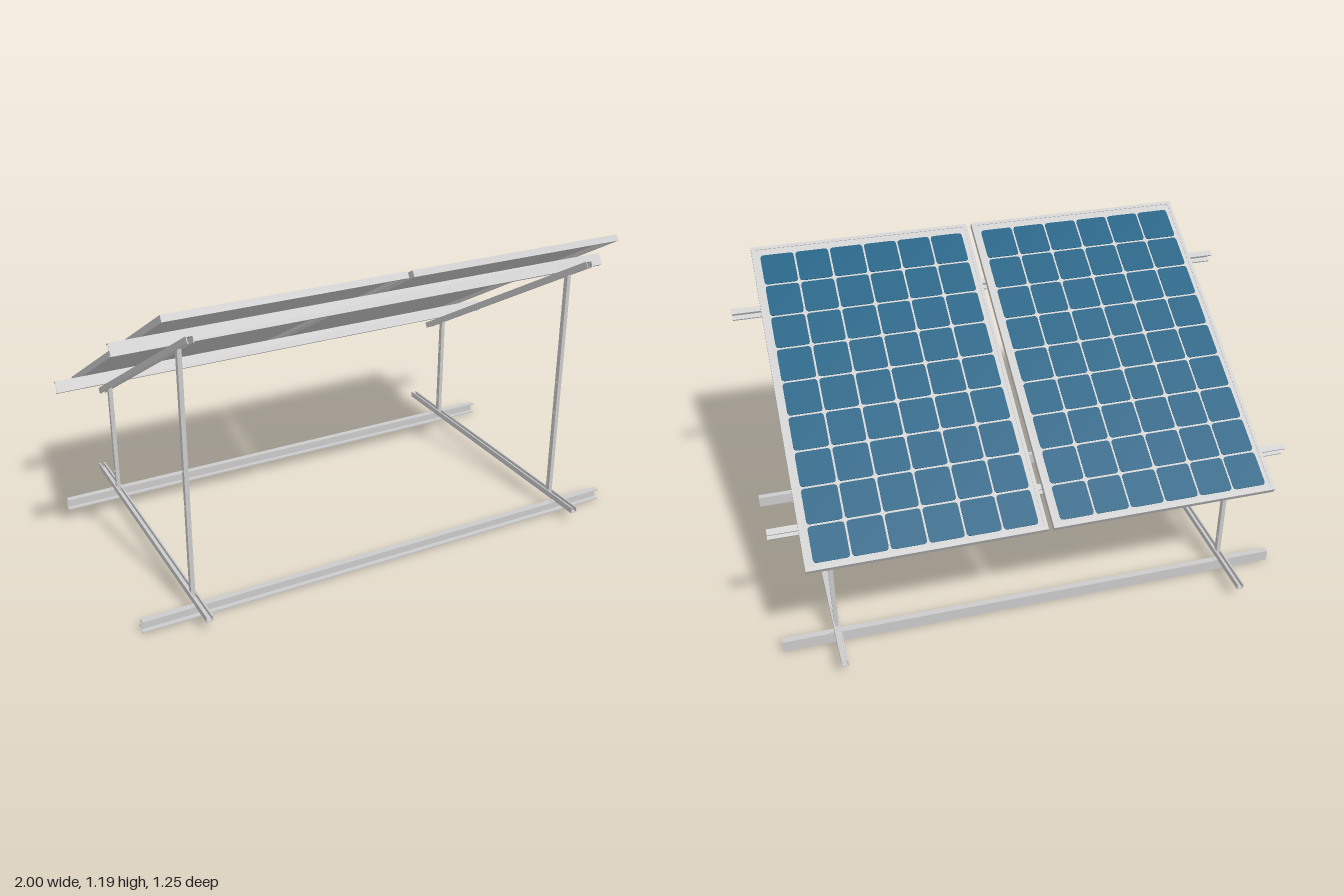
import * as THREE from 'three';

const grey = new THREE.MeshStandardMaterial({ color: 0xcccccc });
const blue = new THREE.MeshStandardMaterial({ color: 0x0f5d80 });
const TILT = Math.PI / 6;
const V = (x, y, z) => new THREE.Vector3(x, y, z);

function add(parent, name, geometry, x, y, z, material = grey) {
  const mesh = new THREE.Mesh(geometry, material);
  mesh.name = name;
  mesh.position.set(x, y, z);
  parent.add(mesh);
  return mesh;
}

// Lipped channel, centred, running along z and open towards +y
function channel(width, depth, length, wall = 0.003, lip = 0.006) {
  const w = width / 2, d = depth / 2, i = w - wall;
  const points = [[-w, -d], [w, -d], [w, d], [w - lip, d], [w - lip, d - wall], [i, d - wall],
    [i, wall - d], [-i, wall - d], [-i, d - wall], [lip - w, d - wall], [lip - w, d], [-w, d]];
  const shape = new THREE.Shape(points.map(([x, y]) => new THREE.Vector2(x, y)));
  return new THREE.ExtrudeGeometry(shape, { depth: length, bevelEnabled: false }).translate(0, 0, -length / 2);
}

// Channel laid along x, open towards +z (side = 1) or -z (side = -1)
function crossChannel(width, depth, length, side) {
  const basis = new THREE.Matrix4().makeBasis(V(0, 1, 0), V(0, 0, side), V(side, 0, 0));
  return channel(width, depth, length).applyMatrix4(basis);
}

function rectangle(path, w, h) {
  path.moveTo(-w / 2, -h / 2).lineTo(w / 2, -h / 2).lineTo(w / 2, h / 2).lineTo(-w / 2, h / 2).closePath();
  return path;
}

function roundedCell(cx, cy, w, h, r) {
  const x0 = cx - w / 2, x1 = cx + w / 2, y0 = cy - h / 2, y1 = cy + h / 2;
  const s = new THREE.Shape();
  s.moveTo(x0 + r, y0).lineTo(x1 - r, y0).quadraticCurveTo(x1, y0, x1, y0 + r);
  s.lineTo(x1, y1 - r).quadraticCurveTo(x1, y1, x1 - r, y1);
  s.lineTo(x0 + r, y1).quadraticCurveTo(x0, y1, x0, y1 - r);
  s.lineTo(x0, y0 + r).quadraticCurveTo(x0, y0, x0 + r, y0);
  return s;
}

// Framed module lying flat, 6 by 9 cells on top and a recessed underside
function solarPanel() {
  const panel = new THREE.Group();
  const W = 0.88, L = 1.378, T = 0.024, rim = 0.014;
  const flat = (shape, depth, curveSegments = 3) =>
    new THREE.ExtrudeGeometry(shape, { depth, bevelEnabled: false, curveSegments }).rotateX(-Math.PI / 2);

  const border = rectangle(new THREE.Shape(), W, L);
  border.holes.push(rectangle(new THREE.Path(), W - 2 * rim, L - 2 * rim));
  add(panel, 'panelFrame', flat(border, T), 0, -T / 2, 0);
  add(panel, 'backSheet', new THREE.BoxGeometry(W - 2 * rim, 0.008, L - 2 * rim), 0, T / 2 - 0.006, 0);

  const cells = [];
  for (let col = 0; col < 6; col++)
    for (let row = 0; row < 9; row++)
      cells.push(roundedCell((col - 2.5) * 0.1375, (row - 4) * 0.1463, 0.13, 0.138, 0.014));
  add(panel, 'solarCells', flat(cells, 0.002), 0, T / 2 - 0.002, -0.008, blue);
  return panel;
}

export function createModel() {
  const model = new THREE.Group();
  model.name = 'solarPanelStand';

  // Ground rails
  for (const z of [0.507, -0.425])
    add(model, 'groundRail', crossChannel(0.046, 0.025, 2, 1), 0, 0.023, z);

  // Everything in the tilted plane, high at +z
  const tilted = new THREE.Group();
  tilted.name = 'tiltedTop';
  tilted.position.y = 0.84;
  tilted.rotation.x = -TILT;
  model.add(tilted);

  for (const side of [-1, 1]) {
    const panel = solarPanel();
    panel.name = side > 0 ? 'leftPanel' : 'rightPanel';
    panel.position.x = side * 0.45;
    tilted.add(panel);
  }
  for (const z of [0.418, -0.51])
    add(tilted, 'purlin', crossChannel(0.047, 0.024, 2, -1), 0, -0.0355, z);

  // Two side frames: base bar, rafter and two posts
  for (const x of [-0.79, 0.79]) {
    add(model, 'baseBar', channel(0.026, 0.024, 1.245), x, 0.058, 0);
    add(tilted, 'rafter', channel(0.026, 0.024, 1.256).rotateZ(Math.PI), x, -0.071, -0.0065);

    const posts = [
      { name: 'frontPost', z: 0.455, top: 1.012, bolts: [0.42, 0.56] },
      { name: 'backPost', z: -0.398, top: 0.522, bolts: [0.14, 0.4] },
    ];
    for (const { name, z, top, bolts } of posts) {
      add(model, name, new THREE.BoxGeometry(0.016, top - 0.05, 0.02), x, (top + 0.05) / 2, z);
      for (const y of bolts)
        add(model, 'postBolt', new THREE.CylinderGeometry(0.005, 0.005, 0.022, 6).rotateZ(Math.PI / 2), x, y, z);
    }

    // Clamp plates where the base bars sit on the ground rails
    for (const z of [0.507, -0.425])
      add(model, 'clampPlate', new THREE.BoxGeometry(0.05, 0.004, 0.022), x, 0.046, z);
  }
  return model;
}
